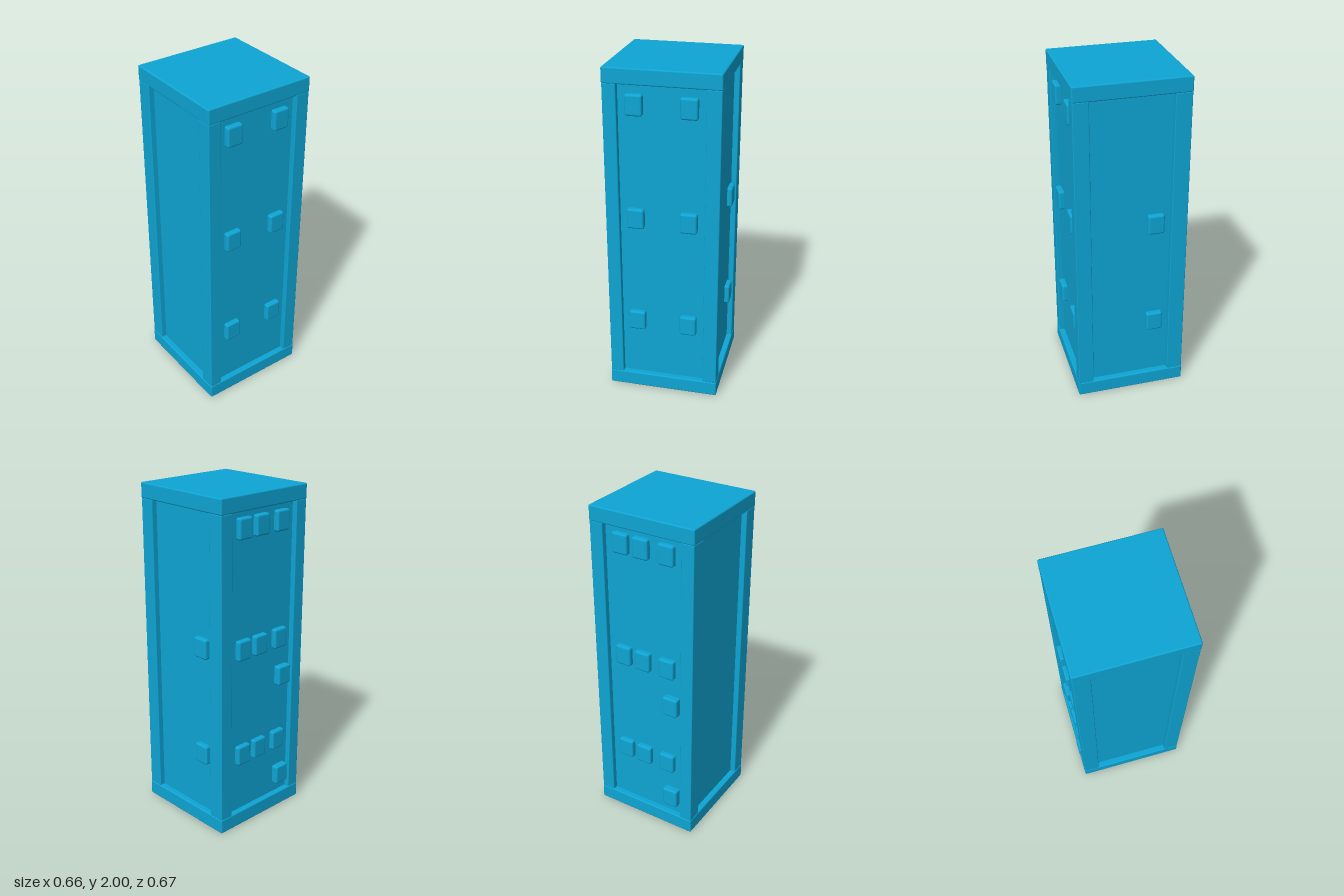
import * as THREE from 'three';
import { RoundedBoxGeometry } from 'three/addons/geometries/RoundedBoxGeometry.js';

const BLUE = new THREE.MeshStandardMaterial({ color: 0x0ea5d4 });

// Rounded box spanning min..max on each axis
function block(name, [x0, x1], [y0, y1], [z0, z1], radius) {
  const geometry = new RoundedBoxGeometry(x1 - x0, y1 - y0, z1 - z0, 3, radius);
  const mesh = new THREE.Mesh(geometry, BLUE);
  mesh.name = name;
  mesh.position.set((x0 + x1) / 2, (y0 + y1) / 2, (z0 + z1) / 2);
  return mesh;
}

// Rounded button whose outer face lies on local +z = 0
function button(name, x, y, z, turn) {
  const geometry = new RoundedBoxGeometry(0.098, 0.12, 0.05, 3, 0.012);
  geometry.translate(0, 0, -0.025);
  const mesh = new THREE.Mesh(geometry, BLUE);
  mesh.name = name;
  mesh.position.set(x, y, z);
  mesh.rotation.y = turn;
  return mesh;
}

export function createModel() {
  const model = new THREE.Group();
  model.name = 'cabinet';

  const outerX = 0.33, back = -0.328, front = 0.333;
  const capHeight = 0.09;

  // Recessed panels on all four sides
  const core = new THREE.Mesh(new THREE.BoxGeometry(0.59, 1.86, 0.593), BLUE);
  core.name = 'recessedPanels';
  core.position.set(0, 1, 0.002);
  model.add(core);

  // Base and top slabs
  model.add(block('base', [-outerX, outerX], [0, capHeight], [back, front], 0.008));
  model.add(block('topSlab', [-outerX, outerX], [2 - capHeight, 2], [back, front], 0.008));

  // Corner posts
  const postY = [capHeight - 0.002, 2 - capHeight + 0.002];
  for (const [side, xs] of [['Right', [-0.328, -0.25]], ['Left', [0.245, 0.328]]]) {
    model.add(block('frontPost' + side, xs, postY, [0.24, front - 0.002], 0.005));
    model.add(block('backPost' + side, xs, postY, [back + 0.002, -0.23], 0.005));
  }

  // Front buttons: two columns, three rows
  for (const y of [0.463, 1.13, 1.797]) {
    for (const x of [-0.157, 0.15]) model.add(button('frontButton', x, y, 0.33, 0));
  }

  // Buttons on the left side
  for (const y of [0.463, 1.13]) {
    model.add(button('sideButton', 0.325, y, -0.143, Math.PI / 2));
  }

  // Back buttons: three columns, three rows
  for (const y of [0.46, 1.12, 1.815]) {
    for (const x of [0.14, 0.01, -0.15]) model.add(button('backButton', x, y, -0.325, Math.PI));
  }

  // Two extra, slightly prouder buttons on the back
  for (const y of [0.213, 0.88]) {
    model.add(button('lowerBackButton', -0.18, y, -0.335, Math.PI));
  }

  return model;
}
